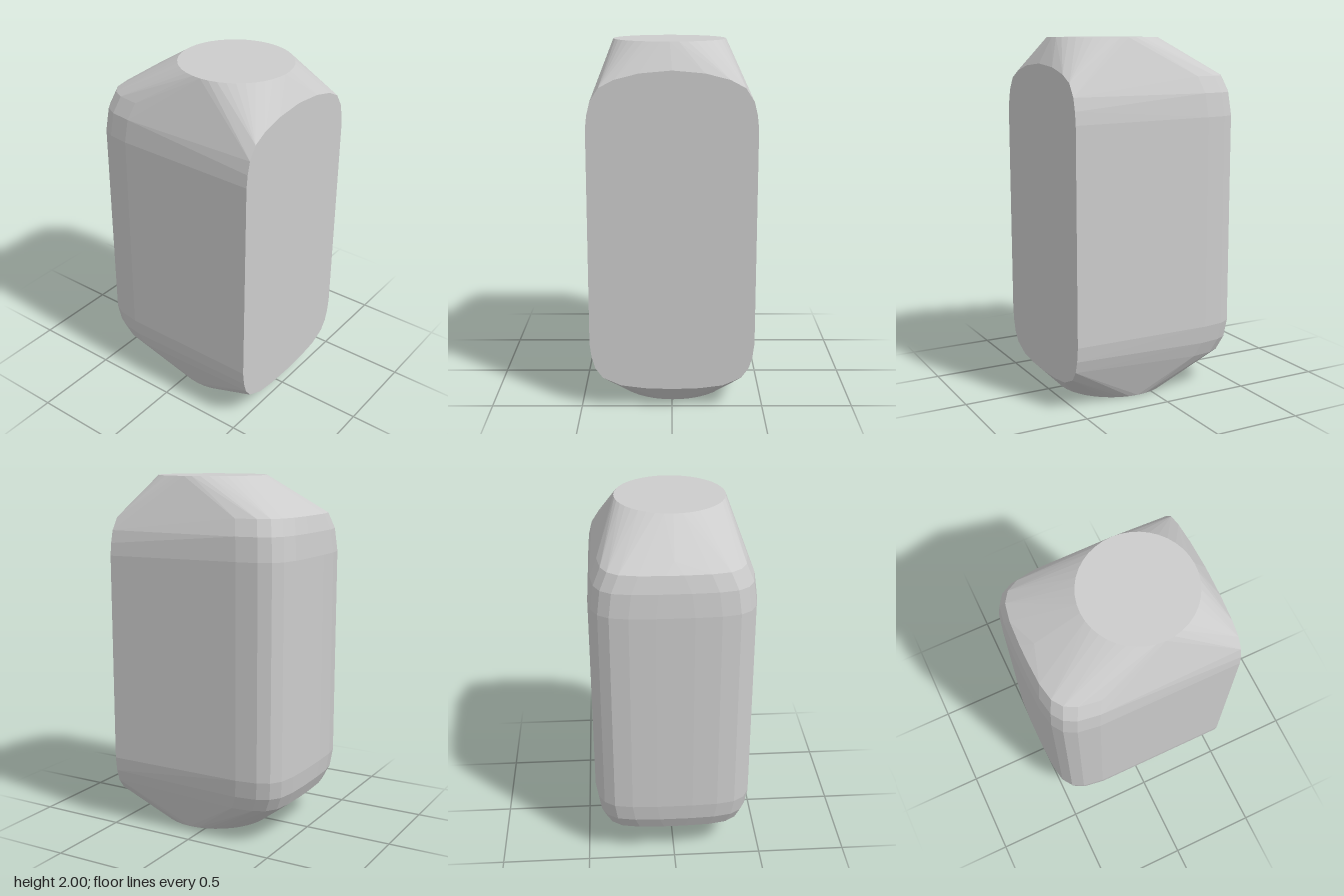
import * as THREE from 'three';
import { ConvexGeometry } from 'three/addons/geometries/ConvexGeometry.js';

const grey = new THREE.MeshStandardMaterial({ color: 0xcccccc });
grey.name = 'plain grey';

export function createModel() {
  const group = new THREE.Group();
  group.name = 'facetedBlock';
  const points = [];
  const add = (x, y, z) => points.push(new THREE.Vector3(x, y, z));
  const cutX = 0.527;

  // flat round ends: y, centre x, centre z, radius x, radius z
  const ends = [
    [2, 0.135, 0.012, 0.31, 0.307],
    [0, 0.095, -0.005, 0.32, 0.325],
  ];
  for (const [y, cx, cz, rx, rz] of ends) {
    for (let i = 0; i < 40; i++) {
      const a = (i / 40) * Math.PI * 2;
      add(cx + rx * Math.cos(a), y, cz + rz * Math.sin(a));
    }
  }

  // rounded corner of a body layer: inset from the rounded side, inset from front or back
  const corner = [[0, 0.35], [0.006, 0.21], [0.025, 0.11], [0.065, 0.052], [0.13, 0.018], [0.25, 0]];
  // body layers: y, rounded side x, half depth
  const layers = [
    [1.84, -0.425, 0.27], [1.79, -0.49, 0.395], [1.7, -0.515, 0.434], [1.57, -0.527, 0.45],
    [0.38, -0.527, 0.45], [0.28, -0.515, 0.435], [0.2, -0.48, 0.41],
  ];
  for (const [y, x, depth] of layers) {
    for (const side of [-1, 1]) {
      for (const [dx, dz] of corner) add(x + dx, y, side * Math.max(depth - dz, 0));
    }
  }

  // outline of the flat cut side: half depth, y
  const cut = [
    [0, 1.86], [0.17, 1.845], [0.3, 1.812], [0.38, 1.77], [0.425, 1.7], [0.442, 1.63], [0.45, 1.56],
    [0.45, 0.38], [0.44, 0.3], [0.42, 0.235], [0.38, 0.18], [0.28, 0.135], [0.15, 0.118], [0, 0.113],
  ];
  for (const [z, y] of cut) {
    add(cutX, y, z);
    add(cutX, y, -z);
  }

  const body = new THREE.Mesh(new ConvexGeometry(points), grey);
  body.name = 'body';
  group.add(body);
  return group;
}
